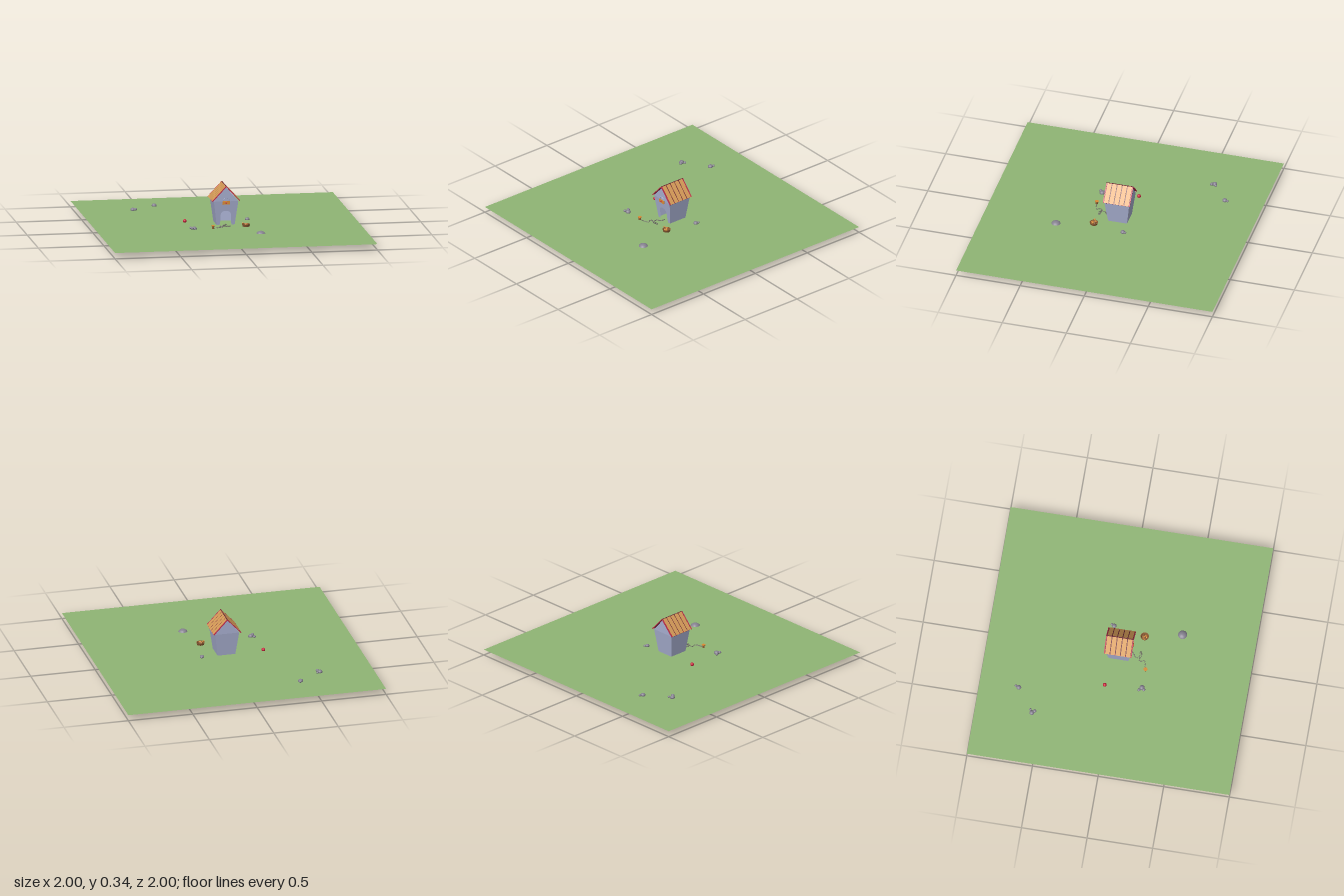
import * as THREE from 'three';

const GROUND = 0.045, EAVE = 0.227, RIDGE = 0.333;

const mat = (color, flat = false, side = THREE.FrontSide) => {
  const m = new THREE.MeshStandardMaterial({ color, side });
  m.flatShading = flat;
  return m;
};
const wallMat = mat(0xa6adce, true, THREE.DoubleSide);
const plankMat = mat(0xd69b58);
const gapMat = mat(0x6e2a34, false, THREE.DoubleSide);
const trimMat = mat(0xc02a4a);
const woodMat = mat(0x8a5a32, true);
const orangeMat = mat(0xd98a35, true);
const redMat = mat(0xc8203a);
const rockMat = mat(0x85818f);
const metalMat = mat(0x77746e);

function add(parent, name, geometry, material, x = 0, y = 0, z = 0) {
  const mesh = new THREE.Mesh(geometry, material);
  mesh.name = name;
  mesh.position.set(x, y, z);
  parent.add(mesh);
  return mesh;
}

// Walls lean outwards, from the floor to the eaves
const wallZ = y => 0.074 + 0.023 * Math.min(1, (y - GROUND) / (EAVE - GROUND));

function endWall(shape, sign) {
  const g = new THREE.ShapeGeometry(shape, 10);
  const p = g.attributes.position;
  for (let i = 0; i < p.count; i++) p.setZ(i, wallZ(p.getY(i)));
  g.computeVertexNormals();
  if (sign < 0) g.rotateY(Math.PI);
  return g;
}

function quad(a, b, c, d) {
  const g = new THREE.BufferGeometry();
  g.setAttribute('position', new THREE.Float32BufferAttribute([...a, ...b, ...c, ...d], 3));
  g.setIndex([0, 1, 2, 0, 2, 3]);
  g.computeVertexNormals();
  return g;
}

function buildHouse() {
  const house = new THREE.Group();
  house.name = 'kennel';
  const bx = 0.069, ex = 0.093;

  for (const s of [1, -1]) {
    const wall = new THREE.Shape();
    wall.moveTo(-bx, GROUND);
    if (s > 0) { // arched doorway
      wall.lineTo(-0.043, GROUND);
      wall.lineTo(-0.039, 0.125);
      wall.bezierCurveTo(-0.034, 0.163, 0.034, 0.163, 0.039, 0.125);
      wall.lineTo(0.043, GROUND);
    }
    wall.lineTo(bx, GROUND);
    wall.lineTo(ex, EAVE);
    wall.lineTo(-ex, EAVE);
    const gable = new THREE.Shape();
    gable.moveTo(-ex, EAVE);
    gable.lineTo(ex, EAVE);
    gable.lineTo(0, RIDGE);
    const end = s > 0 ? 'front' : 'back';
    add(house, end + 'Wall', endWall(wall, s), wallMat);
    add(house, end + 'Gable', endWall(gable, s), wallMat);

    const zb = wallZ(GROUND), zt = wallZ(EAVE);
    add(house, s > 0 ? 'leftWall' : 'rightWall', quad(
      [s * bx, GROUND, s * zb], [s * bx, GROUND, -s * zb],
      [s * ex, EAVE, -s * zt], [s * ex, EAVE, s * zt]), wallMat);

    // Roof slope: dark underlay, planks and red edging
    const roof = new THREE.Group();
    roof.name = s > 0 ? 'leftRoof' : 'rightRoof';
    const run = 0.105, drop = 0.112, len = Math.hypot(run, drop);
    roof.position.set(s * run / 2, 0.341 - drop / 2, 0);
    roof.rotation.z = -s * Math.atan2(drop, run);
    add(roof, 'roofBase', new THREE.BoxGeometry(len, 0.003, 0.206), gapMat);
    for (let i = 0; i < 5; i++) {
      add(roof, 'roofPlank', new THREE.BoxGeometry(len, 0.003, 0.033), plankMat, 0, 0.002, (i - 2) * 0.0395);
    }
    for (const e of [1, -1]) {
      add(roof, 'rakeTrim', new THREE.BoxGeometry(len, 0.006, 0.007), trimMat, 0, 0, e * 0.1015);
    }
    add(roof, 'eaveTrim', new THREE.BoxGeometry(0.006, 0.006, 0.209), trimMat, s * (len / 2 - 0.003), 0, 0);
    house.add(roof);
  }
  add(house, 'ridge', new THREE.BoxGeometry(0.007, 0.005, 0.209), gapMat, 0, 0.341, 0);

  // Name board, left blank, with an arched piece over it
  add(house, 'board', new THREE.BoxGeometry(0.058, 0.026, 0.005), orangeMat, 0, 0.216, 0.1);
  add(house, 'boardStud', new THREE.SphereGeometry(0.006, 10, 8), redMat, 0, 0.216, 0.102);
  add(house, 'boardArch', new THREE.TorusGeometry(0.022, 0.003, 6, 16, Math.PI), wallMat, 0, 0.23, 0.099);
  return house;
}

// Each stone: x, z, radius
function buildRocks(stones, y = 0.05) {
  const group = new THREE.Group();
  group.name = 'rocks';
  stones.forEach(([x, z, r], i) => {
    const rock = add(group, 'rock', new THREE.SphereGeometry(r, 14, 10), rockMat, x, y + i * 0.003, z);
    rock.scale.y = 0.8;
    rock.rotation.set(0.1, i, -0.15);
  });
  return group;
}

function buildBowl() {
  const bowl = new THREE.Group();
  bowl.name = 'foodBowl';
  bowl.position.set(0.14, GROUND, 0.165);
  const profile = [[0, 0], [0.026, 0], [0.032, 0.018], [0.027, 0.018], [0.022, 0.006], [0, 0.006]]
    .map(p => new THREE.Vector2(...p));
  add(bowl, 'bowl', new THREE.LatheGeometry(profile, 16), woodMat);
  for (let i = 0; i < 8; i++) {
    const a = i * 2.4, r = 0.006 * Math.sqrt(i);
    add(bowl, 'food', new THREE.SphereGeometry(0.008, 8, 6), i % 3 ? woodMat : orangeMat,
      r * Math.cos(a), 0.015, r * Math.sin(a));
  }
  const bone = new THREE.Group();
  bone.name = 'bone';
  bone.position.set(-0.016, 0.023, -0.006);
  bone.rotation.set(0, 0.6, -0.25);
  add(bone, 'boneShaft', new THREE.CylinderGeometry(0.003, 0.003, 0.028, 8).rotateZ(Math.PI / 2), orangeMat);
  for (const s of [1, -1]) for (const t of [1, -1]) {
    add(bone, 'boneEnd', new THREE.SphereGeometry(0.004, 8, 6), orangeMat, s * 0.014, 0, t * 0.003);
  }
  bowl.add(bone);
  return bowl;
}

function buildChain() {
  const chain = new THREE.Group();
  chain.name = 'chain';
  const path = new THREE.CatmullRomCurve3([
    [0, 0.075], [0, 0.1], [-0.028, 0.123], [-0.03, 0.148], [0.02, 0.155], [-0.01, 0.167],
    [-0.048, 0.153], [-0.058, 0.17], [-0.045, 0.19], [-0.075, 0.205], [-0.118, 0.213],
  ].map(([x, z]) => new THREE.Vector3(x, 0.049, z)));
  // Links alternate between lying flat and standing
  const n = 40, up = new THREE.Vector3(1, 0, 0);
  for (let i = 0; i <= n; i++) {
    const link = add(chain, 'link', new THREE.TorusGeometry(0.0042, 0.0011, 5, 10).scale(1.3, 1, 1), metalMat);
    link.position.copy(path.getPointAt(i / n));
    link.quaternion.setFromUnitVectors(up, path.getTangentAt(i / n));
    link.rotateX(i % 2 ? Math.PI / 2 : 0);
  }
  add(chain, 'peg', new THREE.CylinderGeometry(0.009, 0.009, 0.02, 12), woodMat, -0.12, 0.054, 0.214);
  add(chain, 'pegHead', new THREE.CylinderGeometry(0.015, 0.013, 0.006, 14), orangeMat, -0.12, 0.066, 0.214);
  return chain;
}

export function createModel() {
  const model = new THREE.Group();
  model.name = 'kennelYard';
  add(model, 'lawn', new THREE.PlaneGeometry(2, 2).rotateX(-Math.PI / 2),
    mat(0x8fb574, false, THREE.DoubleSide), 0, GROUND, 0);
  model.add(buildHouse(), buildBowl(), buildChain());
  add(model, 'ball', new THREE.SphereGeometry(0.014, 16, 12), redMat, -0.288, 0.054, -0.068);

  model.add(
    buildRocks([[-0.597, -0.572, 0.019], [-0.575, -0.587, 0.01], [-0.582, -0.553, 0.013]]),
    buildRocks([[-0.413, -0.702, 0.019], [-0.405, -0.725, 0.01]]),
    buildRocks([[0.19, -0.075, 0.017], [0.198, -0.095, 0.009]]),
    buildRocks([[-0.262, 0.212, 0.02], [-0.285, 0.192, 0.012], [-0.28, 0.228, 0.012]]),
    buildRocks([[0.207, 0.443, 0.039], [0.243, 0.435, 0.007]], 0.0315));
  return model;
}
